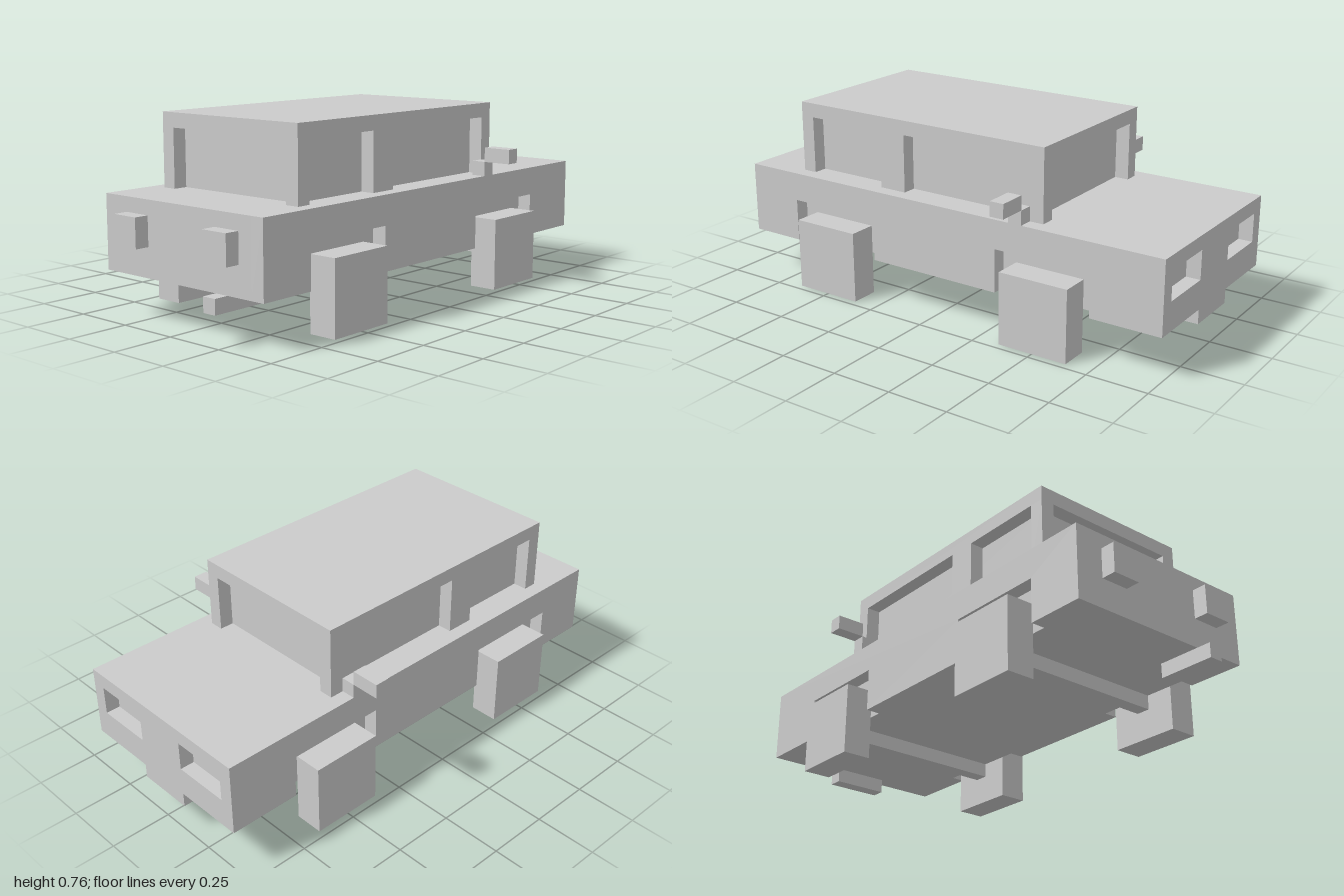
import * as THREE from 'three';

// All measures are in blocks; the car is 34 blocks long.
const U = 2 / 34;
const material = new THREE.MeshStandardMaterial({ color: 0xcccccc, flatShading: true });

export function createModel() {
  const model = new THREE.Group();
  model.name = 'blockCar';

  function add(name, geometry, parent = model) {
    const mesh = new THREE.Mesh(geometry, material);
    mesh.name = name;
    parent.add(mesh);
    return mesh;
  }

  // Box given by its low and high bounds on each axis
  function box(name, [x0, x1], [y0, y1], [z0, z1], parent) {
    const g = new THREE.BoxGeometry((x1 - x0) * U, (y1 - y0) * U, (z1 - z0) * U);
    g.translate((x0 + x1) / 2 * U, (y0 + y1) / 2 * U, (z0 + z1) / 2 * U);
    return add(name, g, parent);
  }

  // Same box on both sides of the car
  function pair(name, x, y, [z0, z1], parent) {
    box(name + 'Left', x, y, [-z1, -z0], parent);
    box(name + 'Right', x, y, [z0, z1], parent);
  }

  // One-block-thick panel from an outline with optional holes
  const points = (list) => list.map(([x, y]) => new THREE.Vector2(x * U, y * U));
  function panel(outline, holes = []) {
    const shape = new THREE.Shape(points(outline));
    for (const hole of holes) shape.holes.push(new THREE.Path(points(hole)));
    return new THREE.ExtrudeGeometry(shape, { depth: U, bevelEnabled: false });
  }
  const rect = (x0, x1, y0, y1) => [[x0, y0], [x1, y0], [x1, y1], [x0, y1]];

  // Body: core, side panels with wheel arches, nose with sunk headlights
  const body = new THREE.Group();
  body.name = 'body';
  model.add(body);
  box('bodyCore', [-16, 16], [3, 8], [-6, 6], body);
  const sideOutline = [
    [-16, 3], [-12, 3], [-12, 6], [-5, 6], [-5, 3],
    [5, 3], [5, 6], [12, 6], [12, 3], [16, 3], [16, 8], [-16, 8],
  ];
  for (const [side, z] of [['Right', 6], ['Left', -7]]) {
    add('sidePanel' + side, panel(sideOutline).translate(0, 0, z * U), body);
  }
  const nose = panel(rect(-7, 7, 3, 8), [rect(-6, -2, 5, 7), rect(2, 6, 5, 7)]);
  add('nosePanel', nose.rotateY(Math.PI / 2).translate(16 * U, 0, 0), body);

  // Cabin: roof on pillars around a recessed window block
  const cabin = new THREE.Group();
  cabin.name = 'cabin';
  model.add(cabin);
  box('roof', [-12, 8], [12, 13], [-6, 6], cabin);
  box('windows', [-11, 7], [8, 12], [-5, 5], cabin);
  pair('rearPillar', [-12, -11], [8, 12], [5, 6], cabin);
  pair('middlePillar', [-5, -3], [8, 12], [5, 6], cabin);
  pair('frontPillar', [7, 8], [8, 12], [5, 6], cabin);

  // Wheels and axles
  for (const [end, x] of [['rear', -8.5], ['front', 8.5]]) {
    pair(end + 'Wheel', [x - 2.5, x + 2.5], [0, 5], [6, 8]);
    box(end + 'Axle', [x - 0.5, x + 0.5], [2, 3], [-6, 6]);
  }

  // Fittings
  pair('mirrorStem', [6, 7], [8, 9], [6, 7]);
  pair('mirror', [6, 7], [9, 10], [7, 9]);
  pair('tailLight', [-17, -16], [5, 7], [3, 5]);
  box('frontPlate', [16, 17], [2, 3], [-2, 2]);
  box('exhaust', [-17, -13], [2, 3], [3, 4]);

  return model;
}
